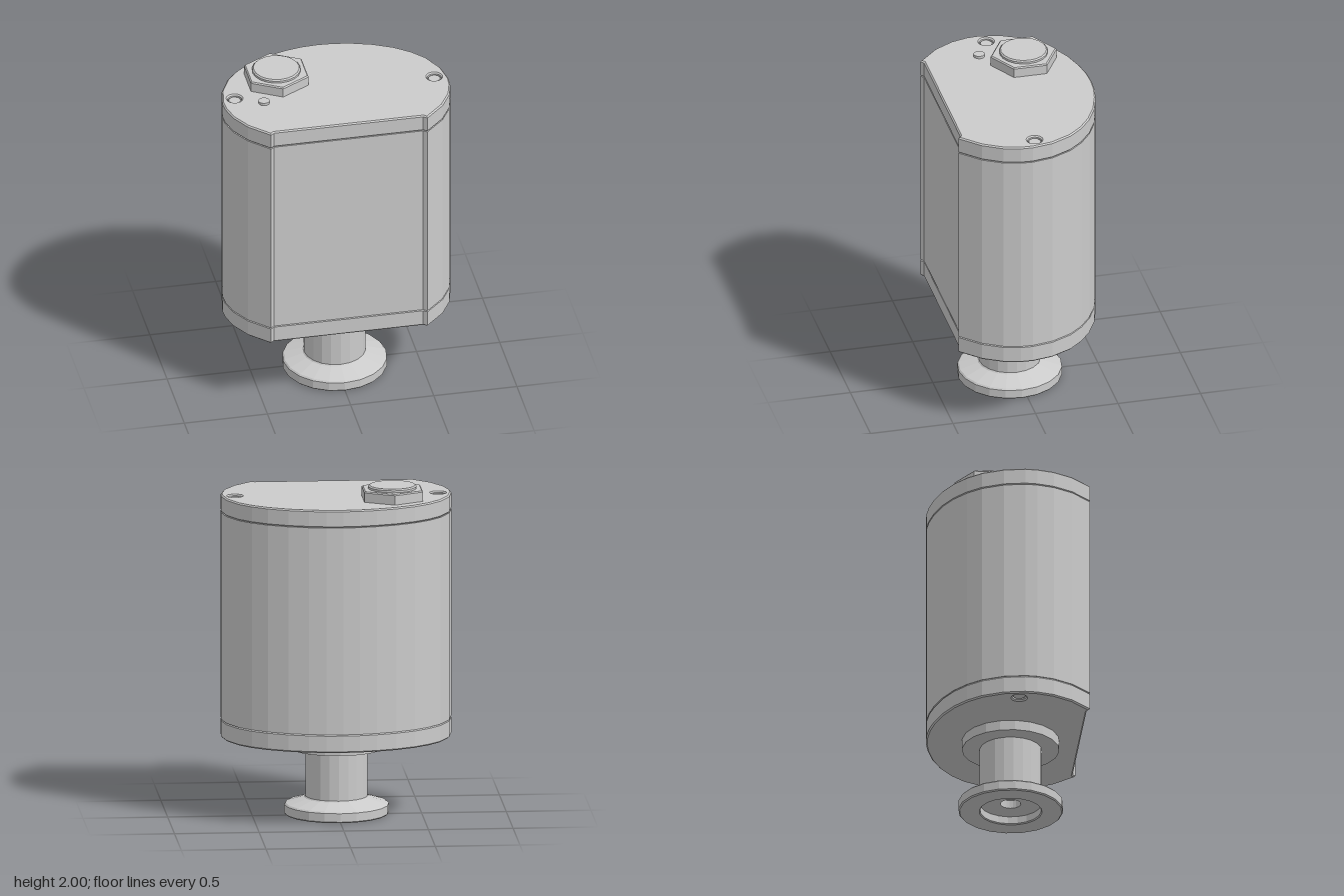
import * as THREE from 'three';

const material = new THREE.MeshStandardMaterial({ color: 0xcccccc, flatShading: true });

// Half outline (x, z) from the back centre to the front corner lip
const HALF = [
  [0, -0.463], [0.1, -0.457], [0.2, -0.438], [0.32, -0.4], [0.434, -0.342], [0.525, -0.272],
  [0.597, -0.19], [0.658, -0.065], [0.68, 0.06], [0.676, 0.13], [0.65, 0.23], [0.585, 0.345],
  [0.47, 0.461], [0.448, 0.443],
];
const SCREWS = [[-0.6, 0.03], [0.6, 0.03]];

function outline() {
  const mirrored = HALF.slice(1).reverse().map(([x, z]) => [-x, z]);
  return new THREE.Shape([...HALF, ...mirrored].map(([x, z]) => new THREE.Vector2(x, -z)));
}

export function createModel() {
  const model = new THREE.Group();

  const add = (name, geometry, x = 0, y = 0, z = 0) => {
    const mesh = new THREE.Mesh(geometry, material);
    mesh.name = name;
    mesh.position.set(x, y, z);
    model.add(mesh);
  };

  // Upright prism from a plan shape, optionally chamfered at both ends
  const prism = (name, shape, y0, y1, bevel = 0) => {
    const geometry = new THREE.ExtrudeGeometry(shape, {
      depth: y1 - y0 - 2 * bevel, curveSegments: 16,
      bevelEnabled: bevel > 0, bevelThickness: bevel, bevelSize: bevel, bevelOffset: -bevel, bevelSegments: 1,
    });
    geometry.rotateX(-Math.PI / 2);
    add(name, geometry, 0, y0 + bevel, 0);
  };

  const lathe = (name, profile, sides, x, z) =>
    add(name, new THREE.LatheGeometry(profile.map(([r, y]) => new THREE.Vector2(r, y)), sides), x, 0, z);

  // Housing between the covers
  prism('housing', outline(), 0.57, 1.812);

  // End covers with screw holes; their chamfers form the seams
  const coverShape = outline();
  for (const [x, z] of SCREWS) {
    const hole = new THREE.Path();
    hole.absarc(x, -z, 0.042, 0, Math.PI * 2, false);
    coverShape.holes.push(hole);
  }
  prism('bottomCover', coverShape, 0.46, 0.57, 0.008);
  prism('topCover', coverShape, 1.812, 1.917, 0.008);

  // Screws sit just below the cover faces
  for (const [x, z] of SCREWS) {
    lathe('topScrew', [[0.04, 1.82], [0.04, 1.9], [0.035, 1.905], [0, 1.905]], 16, x, z);
    lathe('bottomScrew', [[0, 0.472], [0.035, 0.472], [0.04, 0.477], [0.04, 0.56]], 16, x, z);
  }

  // Hexagonal cable fitting with a round cap
  lathe('hexNut', [[0.2, 1.91], [0.2, 1.973], [0.192, 1.98], [0, 1.98]], 6, -0.317, -0.127);
  lathe('fittingCap', [[0.143, 1.97], [0.143, 1.992], [0.135, 2], [0, 2]], 20, -0.317, -0.127);

  // Small locating pin
  add('locatingPin', new THREE.CylinderGeometry(0.033, 0.033, 0.03, 16), -0.44, 1.918, 0.112);

  // Mounting collar below the housing
  add('mountingCollar', new THREE.CylinderGeometry(0.287, 0.287, 0.07, 20), 0, 0.435, 0.035);

  // Neck and flange, hollowed underneath with a small central bore
  lathe('neckFlange', [
    [0, 0.16], [0.035, 0.13], [0.06, 0.1], [0.06, 0.05], [0.18, 0.05], [0.18, 0.006], [0.186, 0],
    [0.302, 0], [0.309, 0.007], [0.309, 0.058], [0.3, 0.067], [0.19, 0.1], [0.183, 0.108], [0.183, 0.41],
  ], 20, 0, 0.035);

  return model;
}
